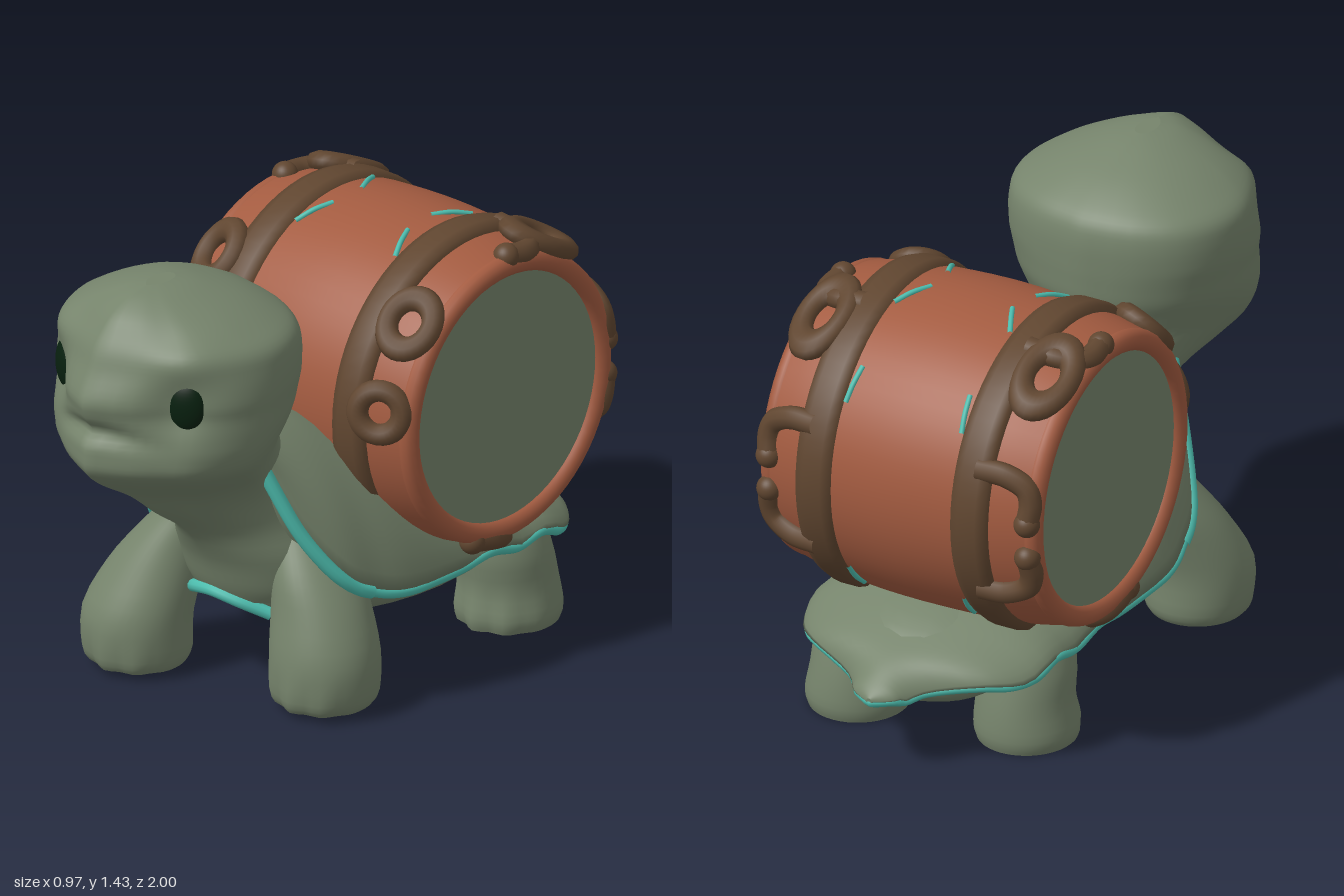
import * as THREE from 'three';

const mat = (name, color) => Object.assign(new THREE.MeshStandardMaterial({ color }), { name });
const skin = mat('sage skin', 0x76846c);
const wood = mat('terracotta wood', 0xa35b40);
const iron = mat('brown bands', 0x604630);
const teal = mat('teal trim', 0x4dbdae);
const dark = mat('dark green eyes', 0x08200f);

const gauss = (a, b, s) => Math.exp(-(a * a + b * b) / s);
const clamp01 = v => Math.max(0, Math.min(1, v));

// Resample a table of rows with a Catmull-Rom rule, n steps per span
function smooth(rows, n) {
  const out = [];
  const at = i => rows[Math.max(0, Math.min(rows.length - 1, i))];
  for (let i = 0; i < rows.length - 1; i++) {
    for (let k = 0; k < n; k++) {
      const t = k / n;
      out.push(rows[i].map((p1, c) => {
        const p0 = at(i - 1)[c], p2 = at(i + 1)[c], p3 = at(i + 2)[c];
        return p1 + 0.5 * t * (p2 - p0 + t * (2 * p0 - 5 * p1 + 4 * p2 - p3 + t * (3 * (p1 - p2) + p3 - p0)));
      }));
    }
  }
  out.push(rows[rows.length - 1].slice());
  return out;
}

// Skin over closed rings of points, with separate flat end caps
function loft(rings) {
  const pos = [], idx = [], n = rings[0].length;
  rings.forEach(r => r.forEach(p => pos.push(...p)));
  for (let i = 0; i < rings.length - 1; i++) {
    for (let j = 0; j < n; j++) {
      const a = i * n + j, b = i * n + (j + 1) % n;
      idx.push(a, b, b + n, a, b + n, a + n);
    }
  }
  [rings[0], rings[rings.length - 1]].forEach((r, top) => {
    const s = pos.length / 3;
    r.forEach(p => pos.push(...p));
    pos.push(...[0, 1, 2].map(c => r.reduce((sum, p) => sum + p[c], 0) / n));
    for (let j = 0; j < n; j++) {
      const k = (j + 1) % n;
      if (top) idx.push(s + n, s + j, s + k);
      else idx.push(s + n, s + k, s + j);
    }
  });
  const g = new THREE.BufferGeometry();
  g.setAttribute('position', new THREE.Float32BufferAttribute(pos, 3));
  g.setIndex(idx);
  g.computeVertexNormals();
  return g;
}

function tube(points, radius) {
  const curve = new THREE.CatmullRomCurve3(points.map(p => new THREE.Vector3(...p)));
  return new THREE.TubeGeometry(curve, points.length * 6, radius, 10);
}

export function createModel() {
  const model = new THREE.Group();
  model.name = 'barrelTurtle';
  const add = (name, geo, material, parent = model) => {
    const m = new THREE.Mesh(geo, material);
    m.name = name;
    parent.add(m);
    return m;
  };
  const blob = (name, material, p, s, parent) => {
    const m = add(name, new THREE.SphereGeometry(1, 32, 20), material, parent);
    m.position.set(...p);
    m.scale.set(...s);
    return m;
  };

  // Head and neck: horizontal slices [y, front z, back z, half width]
  const half = smooth([[0, 1], [.34, .92], [.58, .835], [.78, .75], [.93, .62], [1, .46], [.94, .29], [.75, .14], [.42, .04], [0, 0]], 3);
  const outline = [...half, ...half.slice(1, -1).reverse().map(([x, z]) => [-x, z])];
  const slices = smooth([
    [.32, .4, 0, .22], [.37, .425, 0, .24], [.47, .465, 0, .24], [.58, .545, .02, .2], [.68, .68, .07, .187], [.77, .79, .15, .225],
    [.85, .92, .22, .295], [.91, .985, .27, .345], [.97, .992, .268, .37], [1.03, .99, .25, .38],
    [1.09, .992, .245, .382], [1.145, 1, .243, .385], [1.225, .96, .245, .38], [1.285, .935, .262, .362],
    [1.33, .905, .31, .3], [1.38, .86, .4, .205], [1.42, .79, .52, .1], [1.435, .72, .6, .03]], 4);
  const head = new THREE.Group();
  head.name = 'head';
  head.position.x = .012;
  model.add(head);
  add('headAndNeck', loft(slices.map(([y, zf, zb, w]) => {
    const round = clamp01((.75 - y) / .25);
    const pinch = clamp01((1.15 - y) / .3) * (1 - round);
    return outline.map(([u, v]) => {
      // the pointed plan turns into an ellipse down the neck, and the jaw tapers backwards
      const k = .5 + Math.sign(v - .5) * Math.sqrt(Math.max(0, 1 - u * u)) / 2;
      const x = u * w * (1 - .6 * pinch * Math.max(0, .5 - v));
      const z = zb + (v + (k - v) * round) * (zf - zb);
      if (v < .5) return [x, y, z];
      // brows pushed out, eye sockets and mouth pushed in
      const d = .025 * gauss(Math.abs(x) - .24, y - 1.28, .006) - .04 * gauss(Math.abs(x) - .24, y - 1.13, .007);
      const mouth = .035 * gauss(x / 5, y - 1.042 + x * x, .0009);
      return [x + Math.sign(x) * d * .3, y, z + d - mouth];
    });
  })), skin, head);

  // Eyes
  for (const s of [1, -1]) {
    const eye = blob(s > 0 ? 'leftEye' : 'rightEye', dark, [s * .238, 1.14, .803], [.06, .083, .034], head);
    eye.rotation.y = s * .46;
  }

  // Belly and rump
  blob('belly', skin, [0, .325, -.25], [.38, .17, .6]);
  blob('rump', skin, [0, .26, -.68], [.27, .1, .21]);

  // Back shell: arched sections [z, half width, edge y, top y]
  const shellRows = smooth([
    [-1, .01, .25, .26], [-.97, .07, .255, .29], [-.9, .13, .265, .34], [-.82, .3, .285, .38], [-.7, .4, .305, .43],
    [-.5, .42, .325, .5], [-.25, .43, .33, .62], [0, .44, .34, .78], [.14, .415, .375, .86],
    [.24, .385, .44, .9], [.34, .305, .6, .93], [.42, .21, .84, .94]], 4);
  shellRows.forEach(r => {
    if (r[0] < -.3 && r[0] > -.95) r[2] += .012 * Math.sin(r[0] * 28);
  });
  const arc = 20;
  add('backShell', loft(shellRows.map(([z, w, y0, y1]) => {
    const ring = [];
    for (let i = 0; i <= arc; i++) {
      const t = i / arc * Math.PI;
      ring.push([w * Math.cos(t), y0 + (y1 - y0) * Math.pow(Math.max(0, Math.sin(t)), 1.2), z]);
    }
    for (let i = 1; i < 6; i++) ring.push([w * (i / 3 - 1), y0 - .005, z]);
    return ring;
  })), skin);

  // Teal trim tucked under the shell edge, wider at the front, and a lip under the chest
  const edge = shellRows.filter((r, i) => i % 2 === 0)
    .map(([z, w, y]) => [Math.max(0, w - .012), y - .007, z + .013]);
  const mirror = ([x, y, z]) => [-x, y, z];
  add('shellTrim', tube([...edge.slice().reverse(), ...edge.slice(1).map(mirror)], .016), teal);
  const frontEdge = edge.slice(-7);
  add('leftFrontTrim', tube(frontEdge, .022), teal);
  add('rightFrontTrim', tube(frontEdge.map(mirror), .022), teal);
  add('chestTrim', tube([[-.16, .28, .33], [-.08, .32, .39], [0, .337, .41], [.08, .32, .39], [.16, .28, .33]], .02), teal);

  // Legs: rows [y, centre x, z shift, radius x, radius z], toes on the lower front
  function leg(name, side, z0, rows) {
    const rings = smooth(rows, 3).map(([y, cx, dz, rx, rz]) => {
      const ring = [];
      for (let j = 0; j < 40; j++) {
        const a = j / 40 * Math.PI * 2;
        const k = 1 + .06 * Math.cos(a * 9) * Math.max(0, Math.cos(a)) * Math.max(0, 1 - y / .16);
        ring.push([side * cx + rx * k * Math.sin(a), y, z0 + dz + rz * k * Math.cos(a)]);
      }
      return ring;
    });
    add(name, loft(rings), skin);
  }
  const front = lean => [
    [.03, .31, 0, .145, .145], [.07, .313, 0, .165, .163], [.19, .312, 0, .17, .163],
    [.32, .283, lean * .4, .15, .15], [.42, .245, lean * .8, .125, .142], [.51, .2, lean, .095, .11],
    [.58, .165, lean, .06, .07], [.61, .15, lean, .02, .02]];
  const hind = [
    [.008, .27, 0, .15, .155], [.05, .27, 0, .16, .165], [.14, .265, 0, .148, .155],
    [.25, .26, .02, .145, .15], [.36, .24, .03, .12, .13]];
  leg('leftFrontLeg', 1, .26, front(-.04));
  leg('rightFrontLeg', -1, .4, front(-.12));
  leg('leftHindLeg', 1, -.6, hind);
  leg('rightHindLeg', -1, -.53, hind);

  // Barrel lying across the back
  const barrel = new THREE.Group();
  barrel.name = 'barrel';
  barrel.position.set(0, .843, -.382);
  model.add(barrel);
  const lathe = (name, profile, material) => {
    const m = add(name, new THREE.LatheGeometry(profile.map(p => new THREE.Vector2(...p)), 64), material, barrel);
    m.rotation.z = -Math.PI / 2;
  };
  const wall = smooth([[.45, -.46], [.474, -.35], [.49, -.2], [.499, 0], [.49, .2], [.474, .35], [.45, .46]], 3);
  lathe('barrelStaves', wall, wood);

  // Point on the barrel at x, radius r, angle a (from the front, turning up)
  const on = (x, r, a) => [x, r * Math.sin(a), r * Math.cos(a)];
  for (const s of [1, -1]) {
    const rim = add('barrelRim', new THREE.TorusGeometry(.423, .034, 12, 64), wood, barrel);
    rim.rotation.y = Math.PI / 2;
    rim.position.x = s * .448;
    const cap = add('barrelEnd', new THREE.CircleGeometry(.42, 64), skin, barrel);
    cap.rotation.y = s * Math.PI / 2;
    cap.position.x = s * .458;

    // Band round the barrel
    const c = s * .267;
    lathe('band', [[.47, c - .062], [.497, c - .058], [.507, c - .03], [.507, c + .03], [.497, c + .058], [.47, c + .062]], iron);

    // Rings lying on the staves, tipped outwards [angle, stretch, tip, radius]
    for (const [a, stretch, tip, r] of [[.17, 1, .5, .485], [.76, 1.2, .3, .475], [2.06, 1.6, .2, .475]]) {
      const ring = add('bandRing', new THREE.TorusGeometry(.068, .034, 10, 28), iron, barrel);
      ring.position.set(...on(s * .383, r, a));
      ring.rotation.set(-a, s * tip, 0);
      ring.scale.y = stretch;
    }

    // Hooks that leave the band and run along the rim [start angle, end angle]
    for (const [a0, a1] of [[1.9, 1.6], [2.75, 3.05], [3.6, 3.3], [4.65, 5.02]]) {
      const d = Math.sign(a1 - a0) * .06;
      add('hook', tube([
        on(s * .28, .487, a0), on(s * .37, .478, a0), on(s * .435, .457, a0 + d),
        on(s * .45, .448, (a0 + a1) / 2), on(s * .445, .45, a1)], .036), iron, barrel);
      blob('hookTip', iron, on(s * .445, .45, a1), [.04, .04, .04], barrel);
    }

    // Slim teal chips beside the bands
    for (const [a, x0, x1] of [[2.45, .2, .185], [1.72, .2, .14], [1.25, .15, .2], [-2.4, .19, .2]]) {
      add('tealChip', tube([on(s * x0, .493, a + .12), on(s * (x0 + x1) / 2, .496, a), on(s * x1, .492, a - .12)], .008), teal, barrel);
    }
  }
  return model;
}
